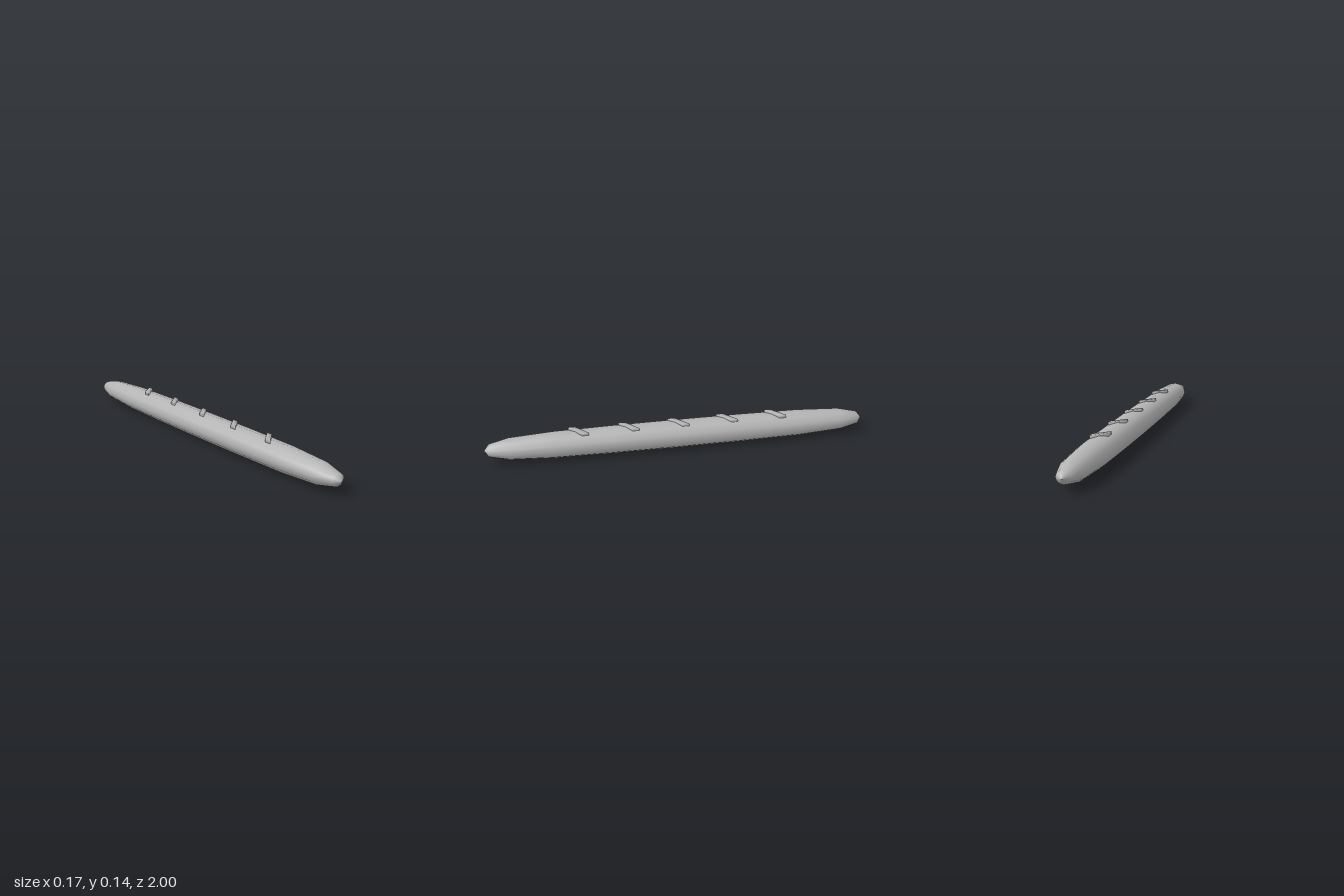
import * as THREE from 'three';
import { mergeVertices } from 'three/addons/utils/BufferGeometryUtils.js';

export function createModel() {
  const group = new THREE.Group();
  const crust = new THREE.MeshStandardMaterial({ color: 0xb4b4b4 });
  crust.name = 'crust grey';

  // Long loaf: blunt-ended profile spun in 12 sides, slightly flattened
  const half = [[1, 0], [0.975, 0.45], [0.875, 0.77], [0.65, 0.935], [0.33, 0.985]];
  const profile = [
    ...half.map(([z, r]) => new THREE.Vector2(r, -z)),
    new THREE.Vector2(1, 0),
    ...half.slice().reverse().map(([z, r]) => new THREE.Vector2(r, z)),
  ];
  const loafGeometry = new THREE.LatheGeometry(profile, 12);
  loafGeometry.rotateX(Math.PI / 2);
  loafGeometry.scale(0.083, 0.07, 1);
  const loaf = new THREE.Mesh(loafGeometry, crust);
  loaf.name = 'loaf';
  loaf.position.y = 0.072;
  group.add(loaf);

  // Diagonal score ridge: sheared box with softly shared normals
  let ridge = new THREE.BoxGeometry(0.07, 0.025, 0.036);
  const p = ridge.attributes.position;
  for (let i = 0; i < p.count; i++) p.setZ(i, p.getZ(i) - p.getX(i) * 0.95);
  ridge.deleteAttribute('normal');
  ridge.deleteAttribute('uv');
  ridge = mergeVertices(ridge);
  ridge.clearGroups();
  ridge.computeVertexNormals();

  // Five ridges evenly spaced along the top
  for (let i = -2; i <= 2; i++) {
    const score = new THREE.Mesh(ridge, crust);
    score.name = 'scoreRidge' + (i + 3);
    score.position.set(0, 0.1345, i * 0.259);
    group.add(score);
  }
  return group;
}
